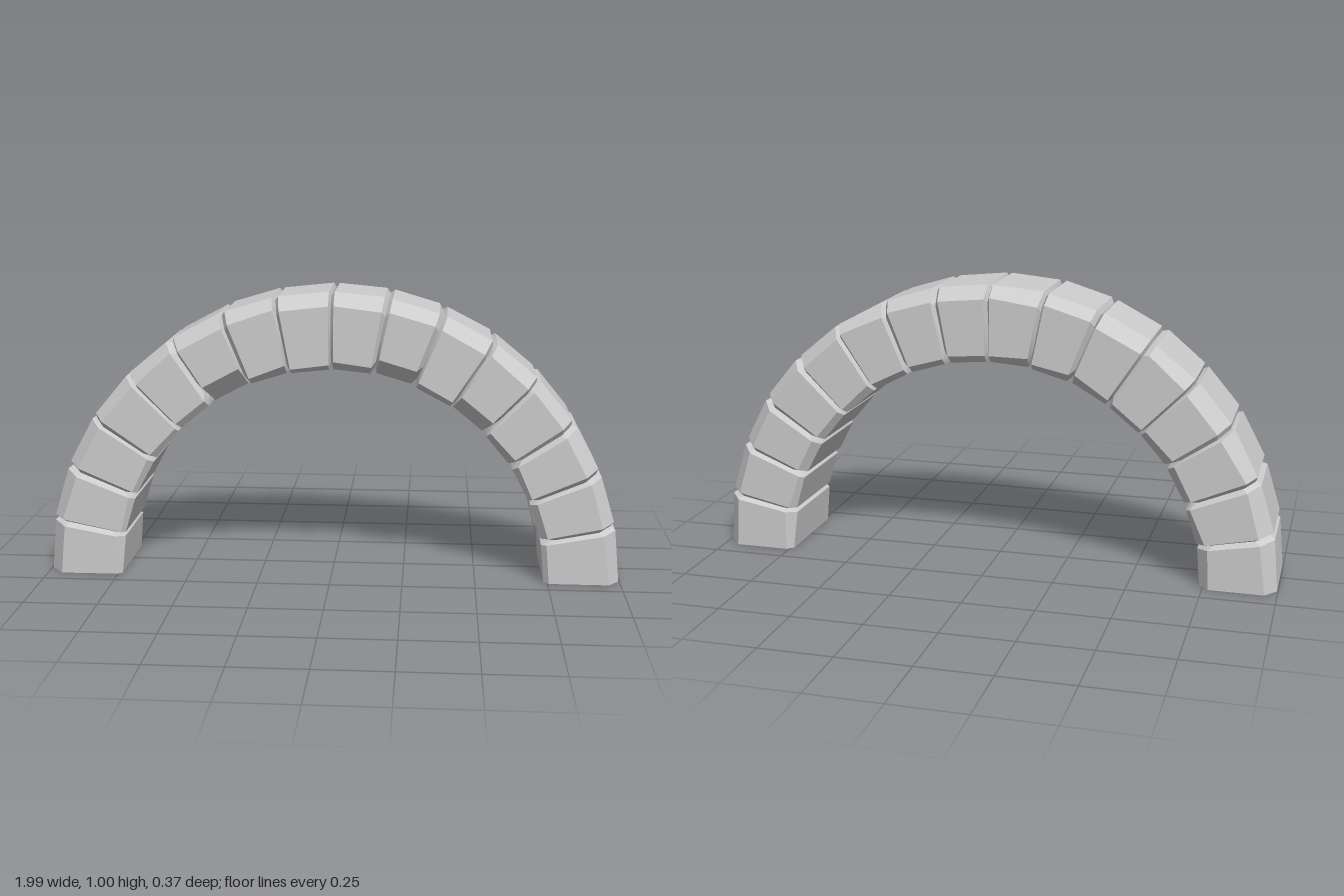
import * as THREE from 'three';
import { toCreasedNormals } from 'three/addons/utils/BufferGeometryUtils.js';

const BLOCKS = 16, STEP = Math.PI / BLOCKS;
const OUTER = 0.997, INNER = 0.737, FRONT = 0.187, BACK = -0.178;

let seed = 7;
function rand(a, b) {
  seed = (seed * 16807) % 2147483647;
  return a + (b - a) * (seed / 2147483647);
}

// Eight-cornered stone section as [radius, z]; c holds the four corner cuts
function section(c, inset) {
  const ro = OUTER - inset * 0.6, ri = INNER + inset;
  const zf = FRONT - inset * 0.7, zb = BACK + inset * 0.7;
  return [
    [ro, zb + c.outBack], [ro, zf - c.outFront],
    [ro - c.outFront * 0.8, zf], [ri + c.inFront, zf],
    [ri, zf - c.inFront], [ri, zb + c.inBack],
    [ri + c.inBack, zb], [ro - c.outBack * 0.8, zb],
  ];
}

// Closed solid lofted along the arc through the rings [angle, section]
function loft(rings) {
  const pos = [], idx = [], n = 8, last = (rings.length - 1) * n;
  for (const [a, pts] of rings)
    for (const [r, z] of pts) pos.push(r * Math.cos(a), r * Math.sin(a), z);
  for (let i = 0; i < last; i += n)
    for (let j = 0; j < n; j++) {
      const k = (j + 1) % n;
      idx.push(i + j, i + n + j, i + k, i + k, i + n + j, i + n + k);
    }
  for (let j = 1; j < n - 1; j++)
    idx.push(0, j, j + 1, last, last + j + 1, last + j);
  const geo = new THREE.BufferGeometry();
  geo.setAttribute('position', new THREE.Float32BufferAttribute(pos, 3));
  geo.setIndex(idx);
  return toCreasedNormals(geo, 0.45);
}

export function createModel() {
  const arch = new THREE.Group();
  arch.name = 'stoneArch';
  const stone = new THREE.MeshStandardMaterial({ color: 0xcccccc });

  // Blocks whose lower front corner is worn away more deeply
  const wornFront = { 4: 0.05, 6: 0.055, 10: 0.065 };

  for (let i = 0; i < BLOCKS; i++) {
    const cuts = () => ({
      outFront: rand(0.045, 0.06), outBack: rand(0.04, 0.06),
      inFront: wornFront[i] ?? rand(0.012, 0.03), inBack: rand(0.015, 0.04),
    });
    const a0 = i * STEP, a1 = a0 + STEP;
    const start = cuts(), end = cuts();
    const gap0 = rand(0.008, 0.018), gap1 = rand(0.008, 0.018);
    const notch = 0.022;

    // Ends recede into a notch at each joint; the two feet end flat
    const rings = [];
    if (i > 0) rings.push([a0, section(start, notch)]);
    rings.push([i > 0 ? a0 + gap0 : 0, section(start, 0)]);
    rings.push([i < BLOCKS - 1 ? a1 - gap1 : Math.PI, section(end, 0)]);
    if (i < BLOCKS - 1) rings.push([a1, section(end, notch)]);

    const block = new THREE.Mesh(loft(rings), stone);
    block.name = i === 0 ? 'leftFootBlock' : i === BLOCKS - 1 ? 'rightFootBlock' : `archBlock${i}`;
    arch.add(block);
  }
  return arch;
}
